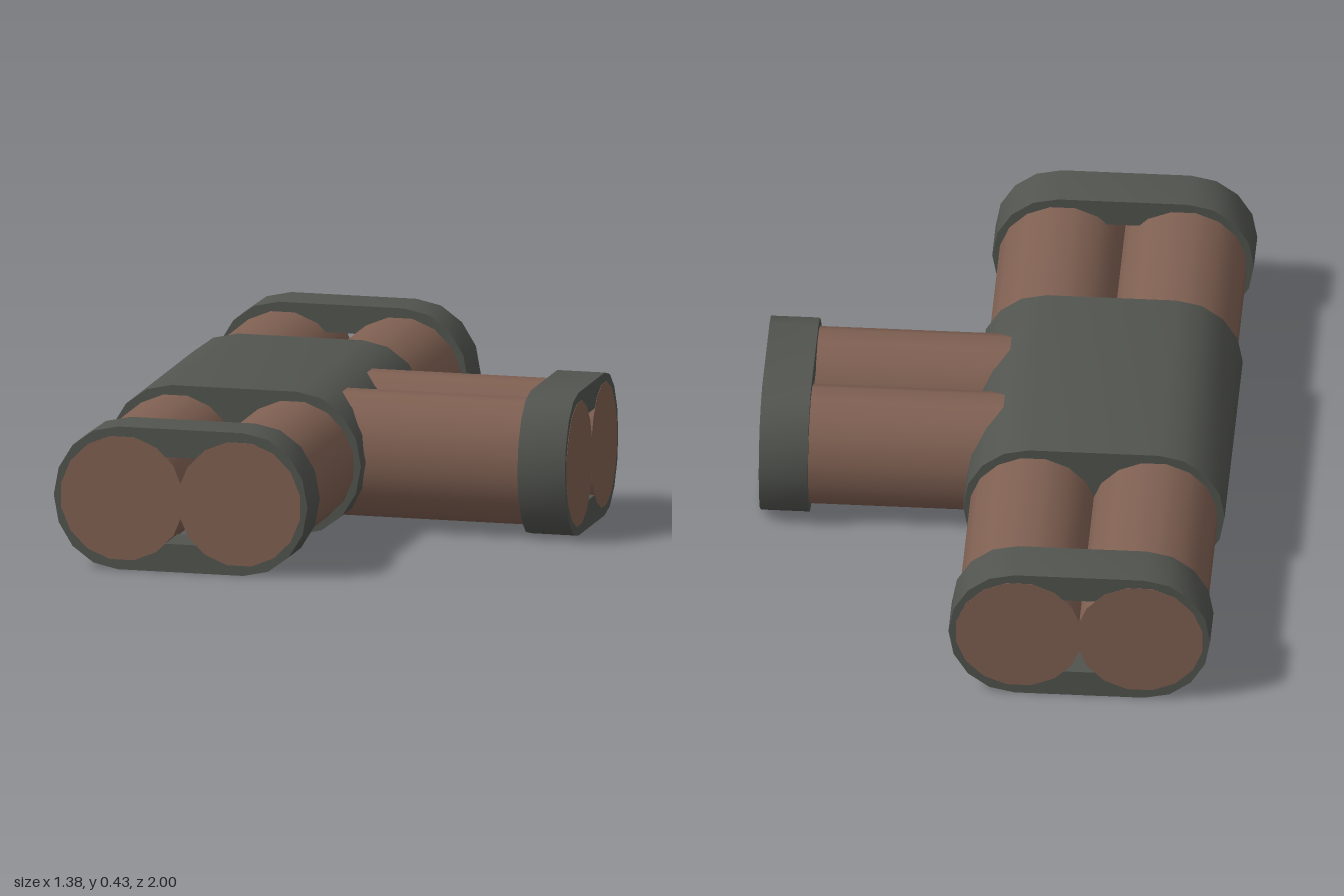
import * as THREE from 'three';
import { toCreasedNormals } from 'three/addons/utils/BufferGeometryUtils.js';

const brown = new THREE.MeshStandardMaterial({ color: 0x7f6052 });
brown.name = 'pipe brown';
const grey = new THREE.MeshStandardMaterial({ color: 0x52544f });
grey.name = 'collar grey';

const MID_Y = 0.214;

// Rounded slot outline: two half ellipses joined by straight edges
function slot(PathType, flat, rx, ry) {
  const pts = [];
  for (const side of [1, -1]) {
    for (let i = 0; i <= 8; i++) {
      const a = -Math.PI / 2 + (i / 8) * Math.PI;
      pts.push(new THREE.Vector2(side * (flat + rx * Math.cos(a)), side * ry * Math.sin(a)));
    }
  }
  return new PathType(pts);
}

// Collar wrapping both pipes, from z0 to z1
function collar(name, z0, z1, hollow) {
  const shape = slot(THREE.Shape, 0.19, 0.195, 0.214);
  if (hollow) shape.holes.push(slot(THREE.Path, 0.17, 0.13, 0.13));
  const geo = new THREE.ExtrudeGeometry(shape, { depth: z1 - z0, bevelEnabled: false });
  const mesh = new THREE.Mesh(toCreasedNormals(geo, 0.7), grey);
  mesh.name = name;
  mesh.position.z = z0;
  return mesh;
}

// Two overlapping pipes side by side, from z0 to z1
function pipePair(name, z0, z1) {
  const pair = new THREE.Group();
  pair.name = name;
  for (const side of [-1, 1]) {
    const geo = new THREE.CylinderGeometry(0.188, 0.188, z1 - z0, 16);
    geo.rotateY(Math.PI / 16).rotateX(Math.PI / 2);
    const pipe = new THREE.Mesh(geo, brown);
    pipe.name = side < 0 ? 'rightPipe' : 'leftPipe';
    pipe.position.set(side * 0.178, 0, (z0 + z1) / 2);
    pair.add(pipe);
  }
  return pair;
}

export function createModel() {
  const model = new THREE.Group();
  model.name = 'pipeJunction';

  // Straight run along z
  const run = new THREE.Group();
  run.name = 'mainRun';
  run.position.set(-0.305, MID_Y, 0);
  run.add(
    pipePair('mainPipes', -1, 1),
    collar('frontCollar', 0.855, 0.999, true),
    collar('backCollar', -0.999, -0.855, true),
    collar('middleCollar', -0.383, 0.383, false)
  );

  // Narrower branch towards +x
  const branch = new THREE.Group();
  branch.name = 'sideBranch';
  branch.position.set(0, MID_Y, 0.037);
  branch.rotation.y = Math.PI / 2;
  branch.scale.x = 0.8;
  branch.add(
    pipePair('branchPipes', -0.25, 0.69),
    collar('branchCollar', 0.545, 0.689, true)
  );

  model.add(run, branch);
  return model;
}
